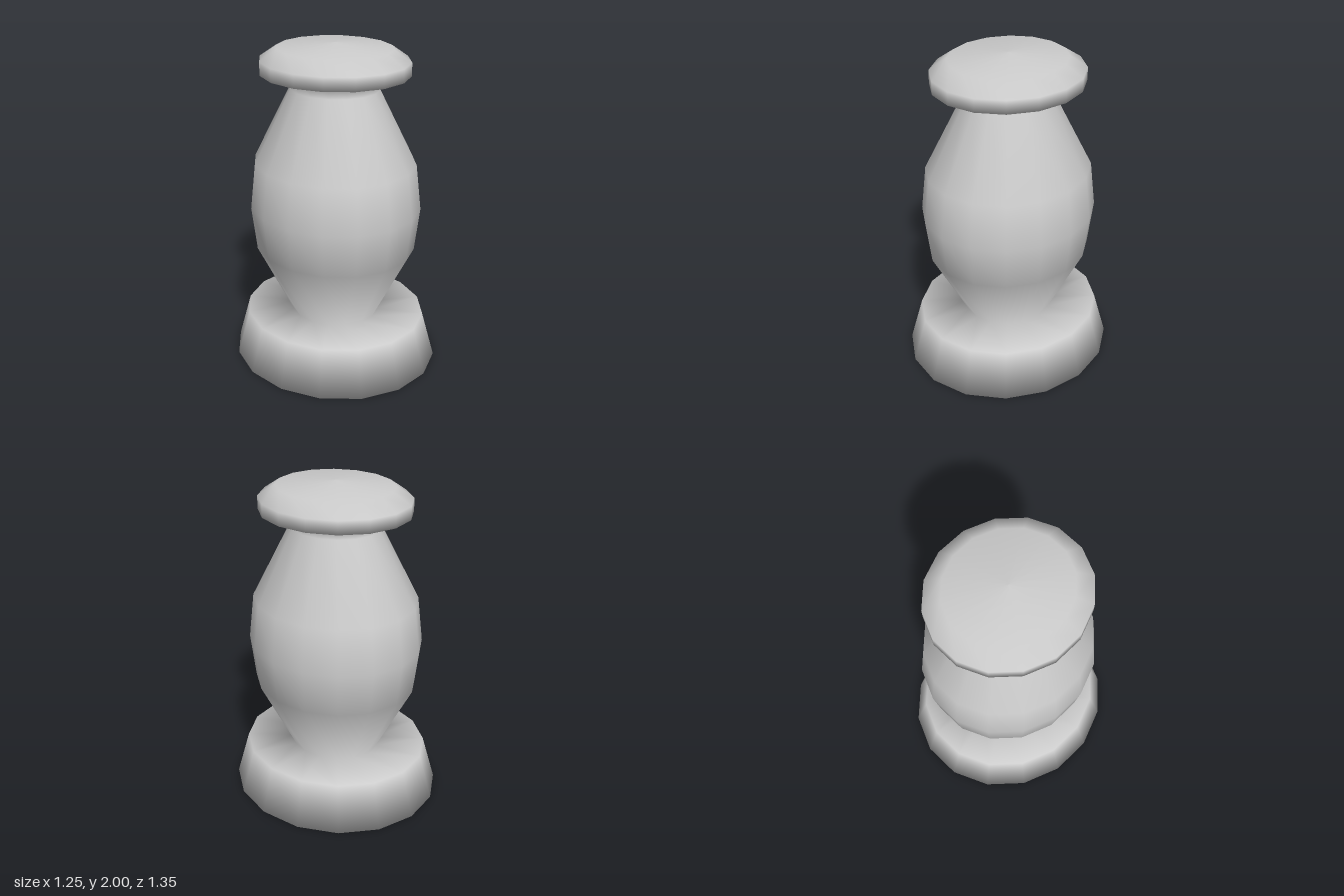
import * as THREE from 'three';

const SIDES = 16;
const DEPTH = 1.08; // the turned shape is slightly deeper than wide

// Outline as [radius, height], from the centre of the underside up to the tip
const OUTLINE = [
  [0, 0], [0.625, 0], [0.548, 0.285], [0.265, 0.285],
  [0.482, 0.73], [0.513, 1.0], [0.482, 1.28], [0.262, 1.73], [0.262, 1.82],
  [0.437, 1.82], [0.437, 1.9], [0.338, 1.97], [0, 2],
];

export function createModel() {
  const group = new THREE.Group();
  const material = new THREE.MeshStandardMaterial({ color: 0xcccccc });

  // One smooth lathe, so shading flows across the joints between parts
  const turned = new THREE.LatheGeometry(OUTLINE.map(([r, y]) => new THREE.Vector2(r, y)), SIDES);
  turned.scale(1, 1, DEPTH);
  const bands = OUTLINE.length - 1;

  // Each part takes the bands of the lathe from one outline point to another
  function addPart(name, from, to) {
    const geometry = turned.clone();
    const faces = [];
    for (let side = 0; side < SIDES; side++) {
      const start = side * bands;
      faces.push(...turned.index.array.slice((start + from) * 6, (start + to) * 6));
    }
    geometry.setIndex(faces);
    const mesh = new THREE.Mesh(geometry, material);
    mesh.name = name;
    group.add(mesh);
  }

  addPart('base', 0, 3); // flared foot with closed underside and flat shoulder
  addPart('body', 3, 8); // barrel-shaped body and short neck
  addPart('cap', 8, bands); // overhanging cap with a shallow peak
  return group;
}
